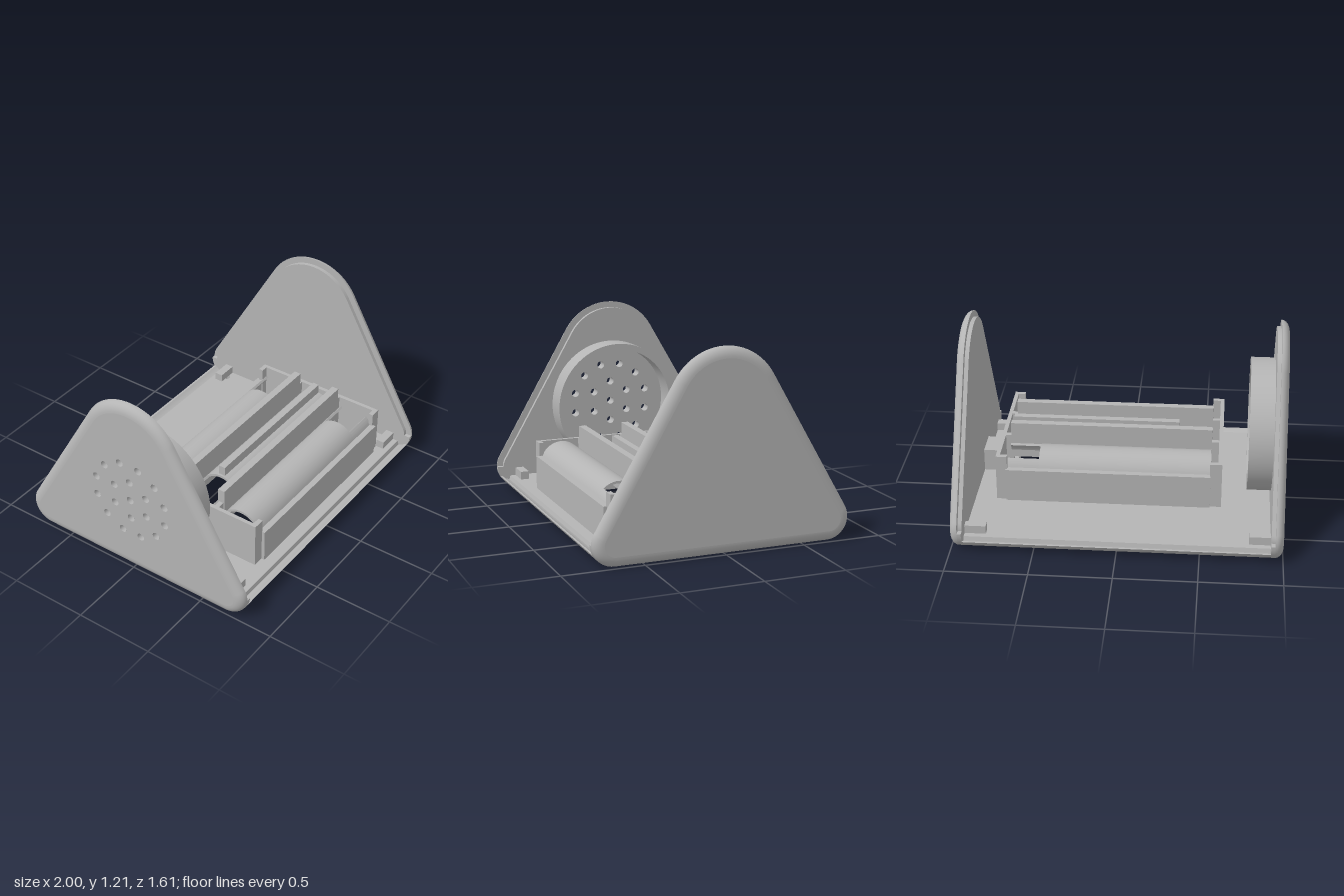
import * as THREE from 'three';
import { toCreasedNormals } from 'three/addons/utils/BufferGeometryUtils.js';

const rad = THREE.MathUtils.degToRad;

export function createModel() {
  const model = new THREE.Group();
  const grey = new THREE.MeshStandardMaterial({ color: 0xb4b4b4, side: THREE.DoubleSide });
  grey.name = 'plastic grey';

  const add = (name, geo, parent = model) => {
    const m = new THREE.Mesh(geo, grey);
    m.name = name;
    parent.add(m);
    return m;
  };
  const box = (name, x0, x1, y0, y1, z0, z1) => {
    const g = new THREE.BoxGeometry(x1 - x0, y1 - y0, z1 - z0);
    g.translate((x0 + x1) / 2, (y0 + y1) / 2, (z0 + z1) / 2);
    return add(name, g);
  };
  const arc = (cx, cy, r, a0, a1, n = 16) => Array.from({ length: n + 1 }, (_, i) => {
    const a = rad(a0 + (a1 - a0) * i / n);
    return new THREE.Vector2(cx + r * Math.cos(a), cy + r * Math.sin(a));
  });
  const circle = (x, y, r) => new THREE.Path().absarc(x, y, r, 0, Math.PI * 2, true);
  const rect = (x0, x1, y0, y1) => [[x0, y0], [x1, y0], [x1, y1], [x0, y1]].map(p => new THREE.Vector2(...p));

  // Side profiles are drawn in (-z, y) and swept along x
  const sweepX = (points, x0, x1) => {
    const g = new THREE.ExtrudeGeometry(new THREE.Shape(points), { depth: x1 - x0, bevelEnabled: false });
    g.translate(0, 0, x0).rotateY(Math.PI / 2);
    return toCreasedNormals(g, 0.5);
  };

  // Rounded triangle, shrunk by an inset
  const outline = d => [
    ...arc(0, 0.86, 0.35 - d, 30, 150, 24),
    ...arc(-0.67, 0.135, 0.135 - d, 150, 270),
    ...arc(0.67, 0.135, 0.135 - d, -90, 30),
  ];
  // Skin between inset outlines given as [x, inset]
  const loft = rings => {
    const pos = [], idx = [], n = outline(0).length;
    rings.forEach(([x, d]) => outline(d).forEach(p => pos.push(p.x, p.y, x)));
    for (let i = 0; i < rings.length - 1; i++) for (let j = 0; j < n; j++) {
      const a = i * n + j, b = i * n + (j + 1) % n;
      idx.push(a, b, b + n, a, b + n, a + n);
    }
    const g = new THREE.BufferGeometry();
    g.setAttribute('position', new THREE.Float32BufferAttribute(pos, 3));
    g.setIndex(idx);
    g.computeVertexNormals();
    return g.rotateY(Math.PI / 2);
  };
  const face = (d, x, holes, inward) => {
    const s = new THREE.Shape(outline(d));
    s.holes.push(...holes);
    const g = new THREE.ShapeGeometry(s, 12);
    if (inward) {
      const ix = g.index.array;
      for (let i = 0; i < ix.length; i += 3) [ix[i], ix[i + 1]] = [ix[i + 1], ix[i]];
      g.computeVertexNormals();
    }
    return g.translate(0, 0, x).rotateY(Math.PI / 2);
  };

  // End panel facing +x, with optional sound holes
  const lip = 0.04, rimX = 0.95, innerX = 0.925;
  const panel = (name, centres) => {
    const g = new THREE.Group();
    g.name = name;
    model.add(g);
    const holes = () => centres.map(([u, y]) => circle(u, y, 0.025));
    const fillet = Array.from({ length: 9 }, (_, i) => {
      const a = rad(i * 90 / 8);
      return [rimX + 0.05 * Math.sin(a), 0.065 * (1 - Math.cos(a))];
    });
    add('panelOuterFace', face(0.065, 1, holes()), g);
    add('panelRoundedEdge', loft(fillet), g);
    add('panelRim', face(0, rimX, [new THREE.Path(outline(lip))], true), g);
    add('panelLip', loft([[innerX, lip], [rimX, lip]]), g);
    add('panelInnerFace', face(lip, innerX, holes(), true), g);
    add('panelFoot', sweepX(outline(0).filter(p => p.y < 0.146), innerX, rimX), g);
    for (const [u, y] of centres) {
      const t = new THREE.CylinderGeometry(0.025, 0.025, 1 - innerX, 16, 1, true);
      add('soundHole', t.rotateZ(Math.PI / 2).translate((1 + innerX) / 2, y, -u), g);
    }
    return g;
  };

  panel('plainPanel', []);
  const speakerY = 0.53;
  const sound = [[0, speakerY]];
  for (const [n, r] of [[6, 0.135], [12, 0.26]]) for (let i = 0; i < n; i++) {
    const a = (i + 0.5) * 2 * Math.PI / n;
    sound.push([r * Math.cos(a), speakerY + r * Math.sin(a)]);
  }
  const speaker = panel('speakerPanel', sound);
  speaker.rotation.y = Math.PI;

  // Speaker collar
  const collar = new THREE.Shape().absarc(0, speakerY, 0.415, 0, Math.PI * 2, false);
  collar.holes.push(circle(0, speakerY, 0.375));
  const collarGeo = new THREE.ExtrudeGeometry(collar, { depth: 0.152, bevelEnabled: false, curveSegments: 48 });
  add('speakerCollar', toCreasedNormals(collarGeo.translate(0, 0, 0.775).rotateY(Math.PI / 2), 0.5), speaker);

  // Floor in two layers, leaving a stepped battery opening
  const floorLayer = (name, y0, y1, grow) => {
    const s = new THREE.Shape(rect(-0.935, 0.935, -0.67, 0.67));
    s.holes.push(new THREE.Path(rect(-0.545 - grow, 0.725 + grow, -0.62 - grow, 0.25 + grow)));
    for (const x of [-0.86, 0.86]) for (const z of [-0.635, 0.635]) s.holes.push(circle(x, z, 0.025));
    const g = new THREE.ExtrudeGeometry(s, { depth: y1 - y0, bevelEnabled: false });
    add(name, toCreasedNormals(g.translate(0, 0, y0).rotateX(-Math.PI / 2), 0.5));
  };
  floorLayer('floorBottom', 0, 0.03, 0.035);
  floorLayer('floorTop', 0.03, 0.07, 0);

  // Rounded long edges with a groove, and the corner screw tabs
  for (const s of [-1, 1]) {
    const edge = [...arc(0.67, 0.135, 0.135, -90, -28.8, 10),
      ...[[0.775, 0.07], [0.75, 0.052], [0.728, 0.045], [0.72, 0.07], [0.67, 0.07]].map(p => new THREE.Vector2(...p))];
    add('floorEdge', sweepX(edge.map(p => new THREE.Vector2(s * p.x, p.y)), -0.935, 0.935));
    for (const t of [-1, 1]) {
      const tab = box('screwTab', -0.065, 0.065, 0.07, 0.122, -0.027, 0.027);
      tab.position.set(t * 0.86, 0, s * 0.657);
    }
  }
  box('switchBlock', 0.79, 0.93, 0.07, 0.215, 0.09, 0.275);

  // Battery vaults, each with a window over one end
  const x0 = -0.55, x1 = 0.73, R = 0.14, cy = 0.23;
  const vault = (z, xa, xb, a0, a1) => add('batteryVault', sweepX(
    [...arc(-z, cy, R, a0, a1, 20), ...arc(-z, cy, R - 0.015, a1, a0, 20)], xa, xb));
  for (const [z, atLeft] of [[-0.11, true], [0.185, false], [0.48, true]]) {
    const [wa, wb] = atLeft ? [0.525, x1] : [x0, -0.35];
    if (atLeft) vault(z, x0, wa, 20, 160);
    else vault(z, wb, x1, 20, 160);
    vault(z, wa, wb, 20, 47);
    vault(z, wa, wb, 133, 160);
  }

  // Holder walls, dividers and the rib over the middle vault
  box('holderFrontWall', x0, x1, 0.06, 0.285, 0.612, 0.65);
  box('holderBackWall', x0, x1, 0.06, 0.285, -0.28, -0.242);
  for (const z of [0.0375, 0.3325]) box('holderDivider', x0, x1, 0.22, 0.46, z - 0.023, z + 0.023);
  box('vaultRib', -0.335, x1, 0.355, 0.43, 0.162, 0.205);

  // End plates with contact slots
  for (const [outer, inner, dir] of [[-0.62, -0.545, 1], [0.79, 0.72, -1]]) {
    const wall = outer + dir * 0.025;
    box('holderEndPlate', Math.min(outer, wall), Math.max(outer, wall), 0.06, 0.37, -0.265, 0.63);
    for (const z of [-0.25, 0.0375, 0.3325, 0.615])
      box('contactGuide', Math.min(wall, inner), Math.max(wall, inner), 0.06, 0.37, z - 0.015, z + 0.015);
  }
  return model;
}
